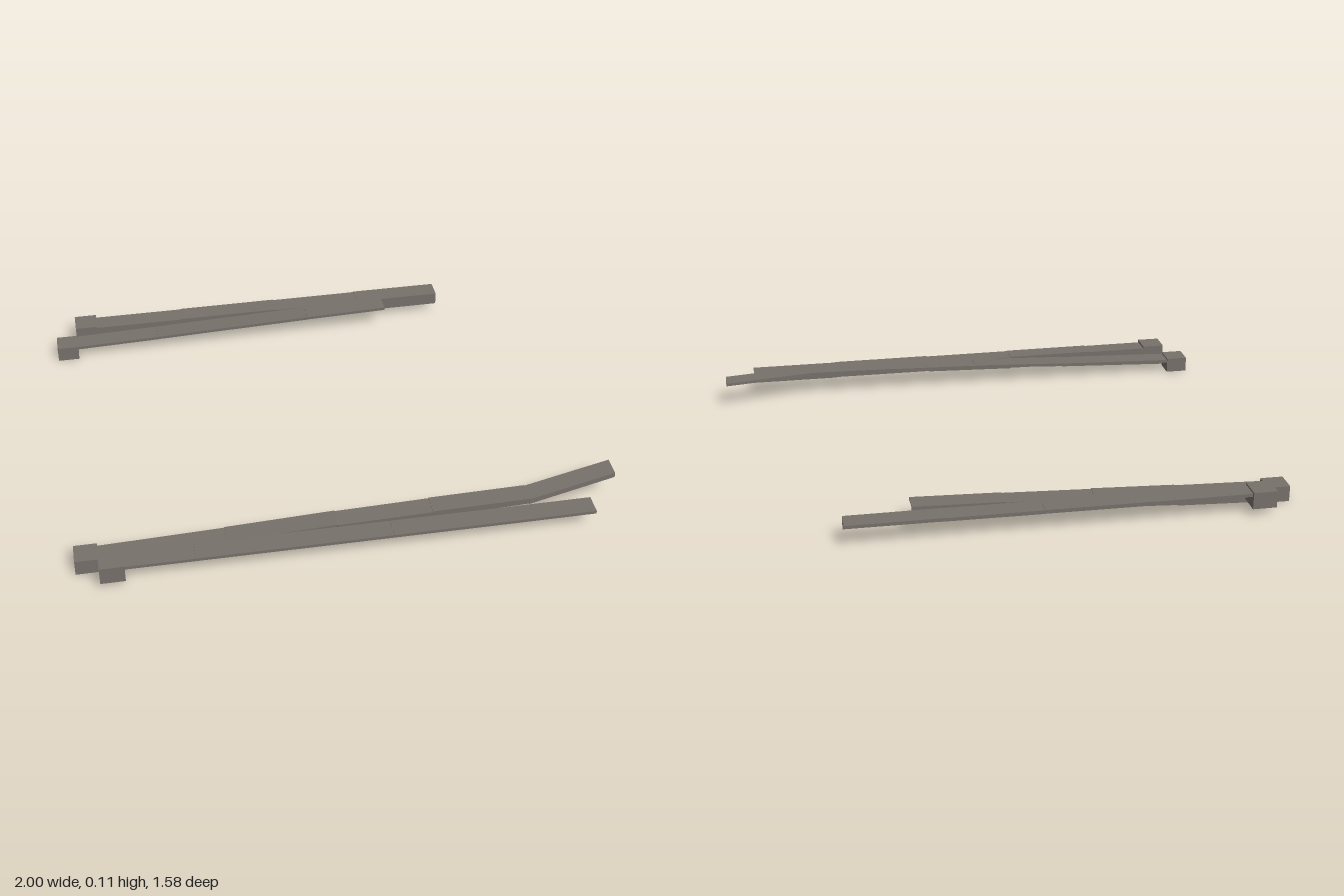
import * as THREE from 'three';

const steel = new THREE.MeshStandardMaterial({ color: 0x77716b, side: THREE.DoubleSide });
steel.name = 'dull steel';

const WIDTH = 0.078, T = 0.005;

// Thin angle profile: tall flange, flat top, short lip. side = direction the top extends in z.
function section([x, z, top, depth], side, shift) {
  const lip = Math.min(0.012, depth);
  const profile = [
    [0, -depth], [0, 0], [WIDTH, 0], [WIDTH, -lip],
    [WIDTH - T, -lip], [WIDTH - T, -T], [T, -T], [T, -depth],
  ];
  return profile.map(([u, v]) => [x, top + v + shift, z + side * (u + shift)]);
}

// One straight length of rail between two stations
function railSegment(a, b, side, shift) {
  const A = section(a, side, shift), B = section(b, side, shift), n = A.length;
  const pos = [];
  const quad = (p, q, r, s) => {
    const order = side > 0 ? [p, q, r, p, r, s] : [p, r, q, p, s, r];
    order.forEach((c) => pos.push(...c));
  };
  for (let i = 0; i < n; i++) {
    const j = (i + 1) % n;
    quad(A[i], B[i], B[j], A[j]);
  }
  // end caps: flange, top and lip
  for (const [p, q, r, s] of [[0, 1, 6, 7], [1, 2, 5, 6], [2, 3, 4, 5]]) {
    quad(A[p], A[q], A[r], A[s]);
    quad(B[s], B[r], B[q], B[p]);
  }
  const g = new THREE.BufferGeometry();
  g.setAttribute('position', new THREE.Float32BufferAttribute(pos, 3));
  g.computeVertexNormals();
  return new THREE.Mesh(g, steel);
}

function rail(name, stations, side) {
  const group = new THREE.Group();
  group.name = name;
  for (let i = 0; i < stations.length - 1; i++) {
    const m = railSegment(stations[i], stations[i + 1], side, i % 2 ? 0.0015 : 0);
    m.name = name + 'Segment' + (i + 1);
    group.add(m);
  }
  return group;
}

// Box closing the end of a rail, given by its limits
function endBlock(name, x0, x1, y0, y1, z0, z1) {
  const m = new THREE.Mesh(new THREE.BoxGeometry(x1 - x0, y1 - y0, z1 - z0), steel);
  m.name = name;
  m.position.set((x0 + x1) / 2, (y0 + y1) / 2, (z0 + z1) / 2);
  return m;
}

export function createModel() {
  const model = new THREE.Group();
  model.name = 'railPairs';

  // Stations are [x, flange z, top y, flange depth]
  model.add(
    rail('frontOuterRail', [
      [-0.84, 0.702, 0.083, 0.059], [-0.58, 0.702, 0.082, 0.055], [-0.23, 0.702, 0.081, 0.051],
      [0.13, 0.702, 0.08, 0.04], [0.53, 0.702, 0.079, 0.039], [0.88, 0.702, 0.079, 0.039],
    ], 1),
    rail('frontInnerRail', [
      [-0.925, 0.699, 0.053, 0.046], [-0.46, 0.699, 0.068, 0.042], [-0.06, 0.699, 0.085, 0.036],
      [0.29, 0.699, 0.094, 0.03], [0.65, 0.699, 0.1, 0.022], [1.0, 0.619, 0.109, 0.02],
    ], -1),
    endBlock('frontOuterBlock', -0.917, -0.828, 0.024, 0.092, 0.7, 0.788),
    endBlock('frontInnerBlock', -1, -0.915, 0, 0.06, 0.615, 0.7),
  );

  model.add(
    rail('backOuterRail', [
      [-0.84, -0.702, 0.085, 0.055], [-0.47, -0.702, 0.085, 0.053], [-0.07, -0.702, 0.086, 0.052],
      [0.285, -0.702, 0.087, 0.051], [0.635, -0.702, 0.087, 0.05],
    ], -1),
    rail('backInnerRail', [
      [-0.925, -0.699, 0.053, 0.046], [-0.58, -0.699, 0.064, 0.044], [-0.27, -0.699, 0.076, 0.04],
      [0.055, -0.699, 0.088, 0.036], [0.39, -0.699, 0.098, 0.033],
    ], 1),
    endBlock('backOuterBlock', -0.917, -0.828, 0.028, 0.092, -0.79, -0.7),
    endBlock('backInnerBlock', -1, -0.915, 0, 0.06, -0.695, -0.612),
  );
  return model;
}
